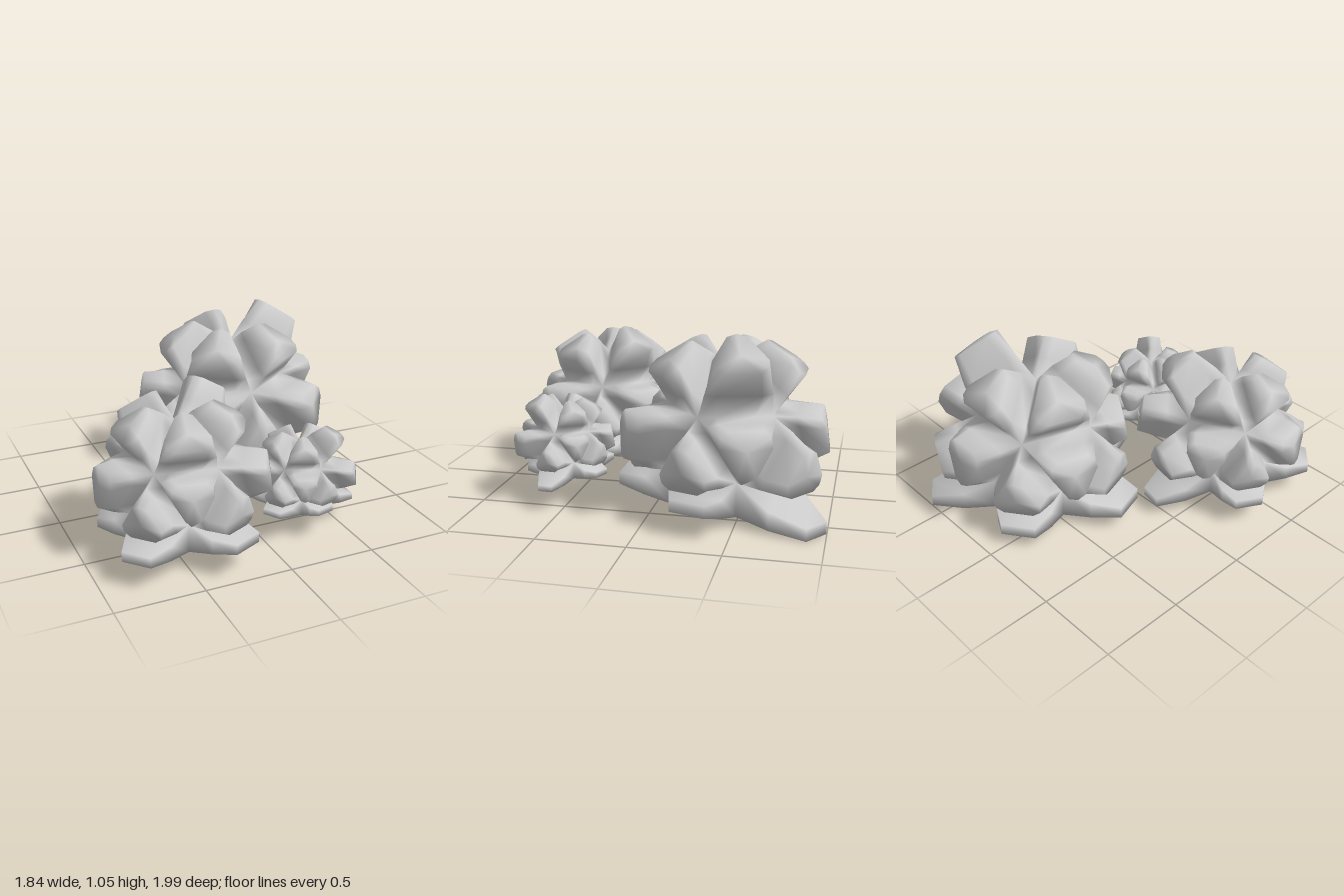
import * as THREE from 'three';
import { mergeVertices } from 'three/addons/utils/BufferGeometryUtils.js';

// Lobe lengths from the centre of a unit-radius plant, going round each tier
const LENGTHS = {
  crown: [1.47, 1.7, 1.47, 1.43, 1.45],
  upperSide: [1.57, 1.68, 1.45, 1.46, 1.33],
  lowerSide: [1.36, 1.55, 1.38, 1.4, 1.42],
};
// Reach, height and half width of each foot's end
const FEET = [[1.2, -0.78, 0.28], [1.74, -1.0, 0.21], [1.38, -0.8, 0.26], [1.59, -0.75, 0.26], [1.56, -0.7, 0.28]];
const RING = 1 / Math.sqrt(5);
const FLOOR = -0.95;

// Point at a given fifth-turn, distance from the axis and height
function ringPoint(step, y, r = 2 * RING) {
  const a = step * Math.PI * 2 / 5;
  return new THREE.Vector3(Math.sin(a) * r, y, Math.cos(a) * r);
}

// Join two equal closed rings of points with a band of triangles
function addBand(out, a, b) {
  a.forEach((p, i) => {
    const j = (i + 1) % a.length;
    out.push(p, a[j], b[j], p, b[j], b[i]);
  });
}

// Extrude a triangle outward into a fleshy lobe: full at the root, rounded at the end
function addLobe(out, corners, length, taper, lift) {
  const mid = new THREE.Vector3();
  corners.forEach(c => mid.addScaledVector(c, 1 / 3));
  const dir = mid.clone().normalize();
  dir.y *= lift;
  const rise = length - mid.length();
  const section = (height, cut, inset, scale) => corners.flatMap((c, i) => {
    const next = corners[(i + 1) % 3];
    return [c.clone().lerp(mid, cut), c.clone().lerp(next, inset), c.clone().lerp(next, 1 - inset)]
      .map(p => p.sub(mid).multiplyScalar(scale).add(mid).addScaledVector(dir, rise * height));
  });
  const root = section(0, 0, 0.25, 1);
  const belly = section(0.5, 0.1, 0.2, (1 + taper) / 2);
  const end = section(1, 0.31, 0.27, taper);
  addBand(out, root, belly);
  addBand(out, belly, end);
  const tip = mid.clone().addScaledVector(dir, rise + 0.02);
  end.forEach((p, i) => out.push(p, end[(i + 1) % 9], tip));
}

// Flattened lobe that spreads from the underside along the ground
function addFoot(out, step, reach, endY, endWidth) {
  const section = (r, halfWidth, top, bottom) => {
    const centre = ringPoint(step, 0, r);
    const side = ringPoint(step + 1.25, 0, halfWidth);
    return [[1, bottom], [1, top], [-1, top], [-1, bottom]].map(([s, y]) =>
      centre.clone().addScaledVector(side, s).setY(y));
  };
  const rootR = 2 * RING * Math.cos(Math.PI / 5), rootW = 2 * RING * Math.sin(Math.PI / 5);
  const root = section(rootR, rootW, -RING, FLOOR);
  const middle = section((rootR + reach) / 2, 0.42, endY * 0.5 - 0.26, endY * 0.5 - 0.53);
  const end = section(reach, endWidth, endY + 0.09, endY - 0.09);
  addBand(out, root, middle);
  addBand(out, middle, end);
  out.push(end[0], end[1], end[2], end[0], end[2], end[3]);
  out.push(root[0], root[3], new THREE.Vector3(0, FLOOR, 0));
}

function plantGeometry() {
  const pts = [];
  const top = new THREE.Vector3(0, 1, 0);
  for (let i = 0; i < 5; i++) {
    const u0 = ringPoint(i, RING), u1 = ringPoint(i + 1, RING);
    const l0 = ringPoint(i + 0.5, -RING), l1 = ringPoint(i + 1.5, -RING);
    addLobe(pts, [top, u0, u1], LENGTHS.crown[i], 1, 1);
    addLobe(pts, [u0, l0, u1], LENGTHS.upperSide[i], 0.92, 0.4);
    addLobe(pts, [l0, l1, u1], LENGTHS.lowerSide[i], 0.92, 0.9);
    addFoot(pts, i + 1, ...FEET[i]);
  }
  const geo = mergeVertices(new THREE.BufferGeometry().setFromPoints(pts), 1e-4);
  geo.computeVertexNormals();
  return geo;
}

export function createModel() {
  const group = new THREE.Group();
  group.name = 'succulentCluster';
  const geometry = plantGeometry();
  const material = new THREE.MeshStandardMaterial({ color: 0xcccccc, side: THREE.DoubleSide });
  // name, centre, radius, turn in degrees
  const plants = [
    ['largeSucculent', [0.26, 0.425, -0.4], 0.39, 0],
    ['mediumSucculent', [-0.45, 0.415, 0.5], 0.32, 25],
    ['smallSucculent', [0.27, 0.325, 0.56], 0.19, -58],
  ];
  for (const [name, centre, radius, turn] of plants) {
    const mesh = new THREE.Mesh(geometry, material);
    mesh.name = name;
    mesh.position.set(...centre);
    mesh.scale.setScalar(radius);
    mesh.rotation.y = THREE.MathUtils.degToRad(turn);
    group.add(mesh);
  }
  return group;
}
